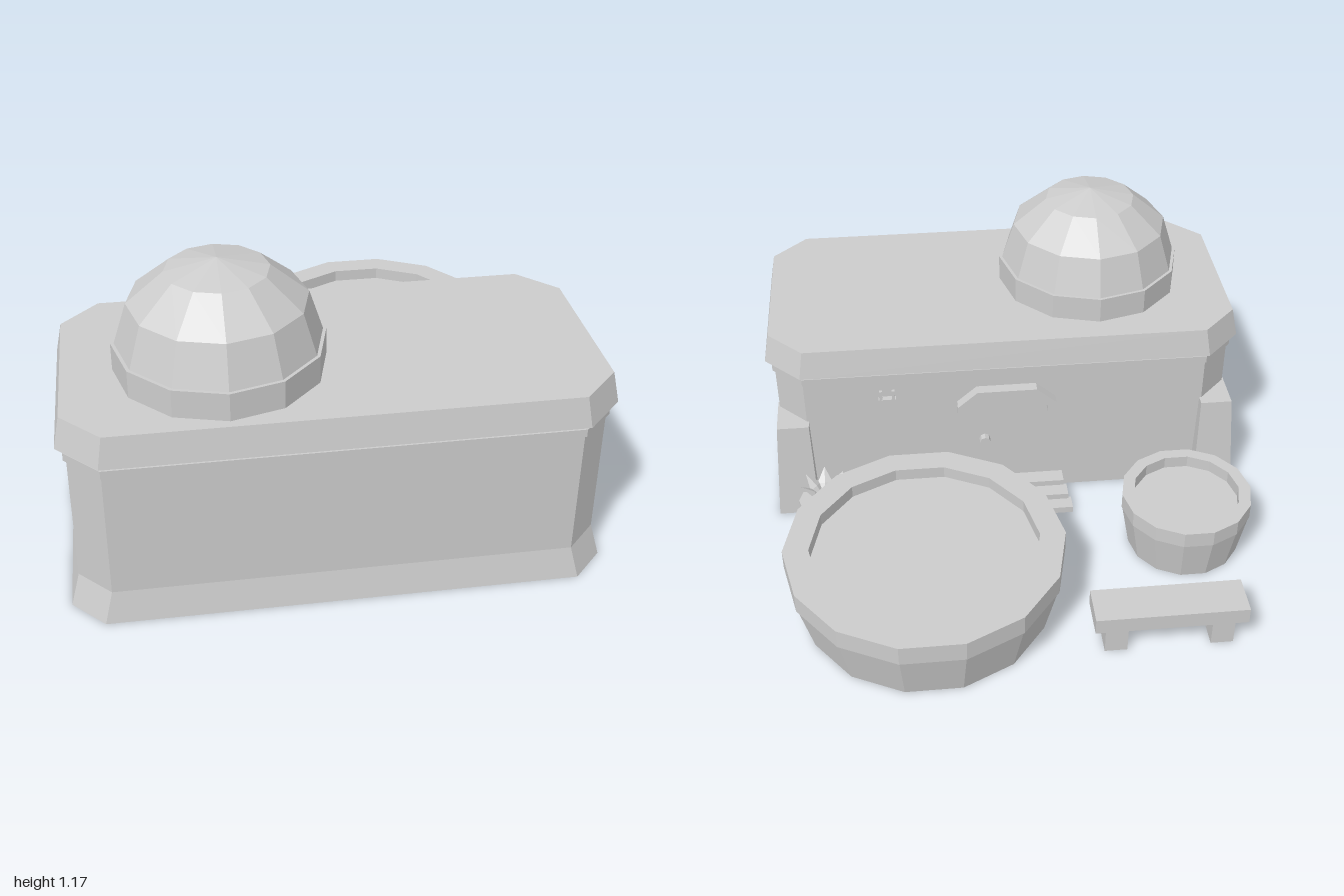
import * as THREE from 'three';

const plaster = new THREE.MeshStandardMaterial({ color: 0xcccccc, flatShading: true, side: THREE.DoubleSide });
plaster.name = 'pale grey plaster';

function add(parent, name, geometry, x = 0, y = 0, z = 0) {
  const mesh = new THREE.Mesh(geometry, plaster);
  mesh.name = name;
  mesh.position.set(x, y, z);
  parent.add(mesh);
  return mesh;
}

const box = (w, h, d) => new THREE.BoxGeometry(w, h, d);

// Stack of rings of [x, y, z] corners, anticlockwise from above, with optional end caps
function loft(rings, bottomCap = true, topCap = true) {
  const n = rings[0].length, pos = [], index = [];
  rings.forEach(r => r.forEach(p => pos.push(...p)));
  for (let k = 0; k < rings.length - 1; k++) {
    for (let i = 0; i < n; i++) {
      const a = k * n + i, b = k * n + (i + 1) % n;
      index.push(a, b, b + n, a, b + n, a + n);
    }
  }
  const top = (rings.length - 1) * n;
  for (let i = 1; i < n - 1; i++) {
    if (bottomCap) index.push(0, i + 1, i);
    if (topCap) index.push(top, top + i, top + i + 1);
  }
  const g = new THREE.BufferGeometry();
  g.setAttribute('position', new THREE.Float32BufferAttribute(pos, 3));
  g.setIndex(index);
  const flat = g.toNonIndexed();
  flat.computeVertexNormals();
  return flat;
}

// Rectangle with cut corners at height y
const octagon = (y, x, front, back, c) => [
  [x, y, front - c], [x, y, back + c], [x - c, y, back], [c - x, y, back],
  [-x, y, back + c], [-x, y, front - c], [c - x, y, front], [x - c, y, front],
];

const rectangle = (y, x0, x1, z0, z1) => [[x0, y, z1], [x1, y, z1], [x1, y, z0], [x0, y, z0]];

const outline = points => new THREE.Shape(points.map(p => new THREE.Vector2(...p)));

// Flat panel with cut corners
function panel(w, h, cut, bottomCut = cut) {
  const x = w / 2, y = h / 2, b = bottomCut;
  return new THREE.ShapeGeometry(outline([
    [-x + b, -y], [x - b, -y], [x, -y + b], [x, y - cut],
    [x - cut, y], [-x + cut, y], [-x, y - cut], [-x, -y + b],
  ]));
}

// Faceted turned body whose first corner points along +x
function turned(profile, sides) {
  const g = new THREE.LatheGeometry(profile.map(p => new THREE.Vector2(...p)), sides);
  return g.rotateY(Math.PI / 2);
}

// Tub open underneath, with a raised inner floor
function tub(parent, name, x, z, r, inner, base, rimY, top) {
  add(parent, name, turned([
    [base, 0], [r * 0.99, rimY], [r, rimY], [r, top],
    [inner, top], [inner, top - 0.05], [0, top - 0.05],
  ], 14), x, 0, z);
}

export function createModel() {
  const model = new THREE.Group();
  model.name = 'domedHouse';

  // House: flared open skirt, walls, string course and sloping cornice
  const house = new THREE.Group();
  house.name = 'house';
  model.add(house);
  add(house, 'skirt', loft([
    octagon(0, 0.952, 0.985, 0.13, 0.115),
    octagon(0.12, 0.92, 0.963, 0.13, 0.112),
  ], false, false));
  add(house, 'walls', loft([
    octagon(0.12, 0.92, 0.963, 0.13, 0.112),
    octagon(0.66, 0.92, 0.963, 0.13, 0.112),
  ]));
  add(house, 'stringCourse', loft([
    octagon(0.605, 0.93, 0.975, 0.118, 0.12),
    octagon(0.635, 0.93, 0.975, 0.118, 0.12),
  ]));
  add(house, 'roof', loft([
    octagon(0.658, 0.954, 1.0, 0.09, 0.14),
    octagon(0.77, 0.932, 0.98, 0.11, 0.135),
  ]));

  // Dome on its drum
  add(house, 'domeDrum', new THREE.CylinderGeometry(0.369, 0.369, 0.105, 12).rotateY(Math.PI / 2), -0.384, 0.82, 0.58);
  const dome = new THREE.SphereGeometry(0.357, 12, 3, 0, Math.PI * 2, 0, Math.PI / 2);
  add(house, 'dome', dome.scale(1, 0.84, 1), -0.384, 0.872, 0.58);

  for (const side of [-1, 1]) {
    // Tapered buttress on each rear corner
    const range = (a, b) => side > 0 ? [a, b] : [-b, -a];
    add(house, 'buttress', loft([
      rectangle(0, ...range(0.79, 0.955), 0.055, 0.305),
      rectangle(0.42, ...range(0.8, 0.927), 0.09, 0.27),
    ], false));
    // Side and rear windows
    for (const z of [0.4, 0.692]) {
      const pane = add(house, 'sideWindow', panel(0.165, 0.215, 0.03), side * 0.9225, 0.383, z);
      pane.rotation.y = side * Math.PI / 2;
    }
    const rear = add(house, 'rearWindow', panel(0.31, 0.22, 0.05), side * 0.565, 0.385, 0.1275);
    rear.rotation.y = Math.PI;
  }

  // Door with hood and knob
  const door = new THREE.Group();
  door.name = 'doorway';
  model.add(door);
  add(door, 'door', panel(0.4, 0.47, 0.08, 0), 0, 0.31, 0.1265).rotation.y = Math.PI;
  const hood = outline([
    [-0.2, 0.43], [-0.165, 0.43], [-0.165, 0.46], [-0.1, 0.515], [0.1, 0.515], [0.165, 0.46],
    [0.165, 0.43], [0.2, 0.43], [0.2, 0.475], [0.12, 0.545], [-0.12, 0.545], [-0.2, 0.475],
  ]);
  add(door, 'doorHood', new THREE.ExtrudeGeometry(hood, { depth: 0.05, bevelEnabled: false }), 0, 0, 0.085);
  add(door, 'doorKnob', new THREE.CylinderGeometry(0.022, 0.022, 0.035, 8).rotateX(Math.PI / 2), 0.09, 0.28, 0.115);

  // Three shallow steps, one slab for each tread
  [-0.055, 0, 0.06].forEach((z, i) => {
    add(door, 'step', box(0.52 - i * 0.025, 0.028, 0.065), 0, 0.014 + 0.025 * i, z + 0.0325);
  });

  // Small wall bracket
  const bracket = new THREE.Group();
  bracket.name = 'wallBracket';
  model.add(bracket);
  add(bracket, 'bracketArm', box(0.07, 0.015, 0.025), 0.48, 0.515, 0.118);
  for (const x of [0.455, 0.505]) add(bracket, 'bracketProng', box(0.012, 0.055, 0.012), x, 0.535, 0.112);

  // Round tubs
  tub(model, 'largeTub', 0.367, -0.481, 0.533, 0.435, 0.477, 0.21, 0.29);
  tub(model, 'smallTub', -0.682, -0.247, 0.258, 0.21, 0.222, 0.185, 0.25);

  // Bench
  const bench = new THREE.Group();
  bench.name = 'bench';
  model.add(bench);
  add(bench, 'benchSeat', box(0.57, 0.065, 0.155), -0.515, 0.155, -0.77);
  for (const dx of [-0.2, 0.2]) add(bench, 'benchLeg', box(0.085, 0.125, 0.11), -0.515 + dx, 0.0625, -0.77);

  // Potted spiky plant
  const plant = new THREE.Group();
  plant.name = 'pottedPlant';
  plant.position.set(0.757, 0, 0.012);
  model.add(plant);
  add(plant, 'pot', turned([[0.074, 0], [0.1, 0.085], [0.11, 0.09], [0.11, 0.103], [0, 0.103]], 10));
  for (let i = 0; i < 7; i++) {
    const leaf = new THREE.OctahedronGeometry(1).scale(0.032, 0.068, 0.01).translate(0, 0.068, 0);
    leaf.rotateX(0.8).rotateY(i * Math.PI * 2 / 7);
    add(plant, 'leaf', leaf, 0, 0.1, 0);
  }
  return model;
}
